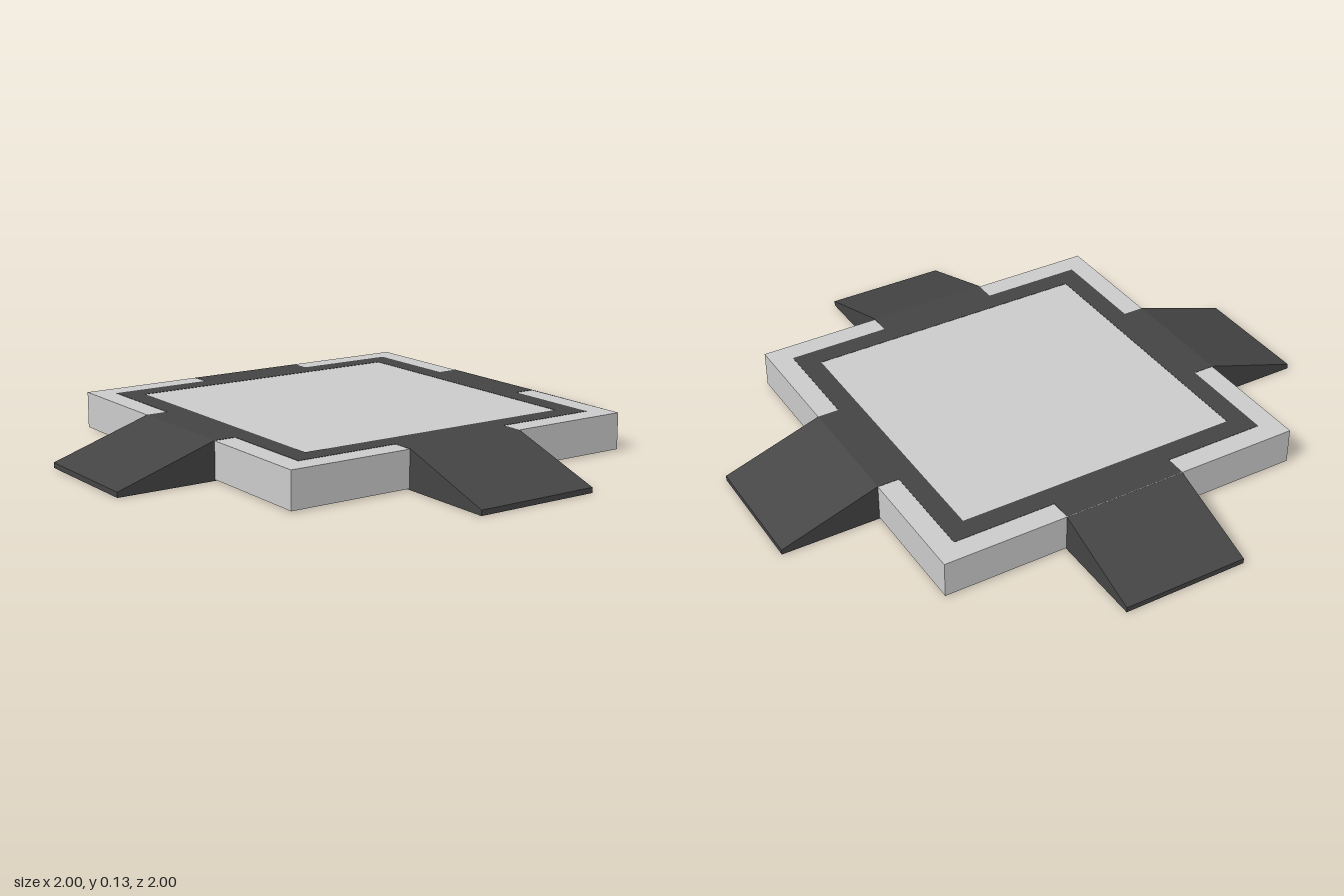
import * as THREE from 'three';

const GREY = 0xcccccc, DARK = 0x444444;
const HALF = 0.655;     // platform half width
const TOP = 0.13;       // platform height
const ARM = 0.219;      // ramp half width
const BORDER = 0.58;    // outer half width of the inlaid border
const PANEL = 0.506;    // inner half width of the border
const SHIFT = -0.004;   // the deck sits a touch to the back

function part(name, geometry, color) {
  const mesh = new THREE.Mesh(geometry, new THREE.MeshStandardMaterial({ color, flatShading: true }));
  mesh.name = name;
  return mesh;
}

function outline(points) {
  return new THREE.Shape(points.map(([x, y]) => new THREE.Vector2(x, y)));
}

const square = (h) => outline([[-h, -h], [h, -h], [h, h], [-h, h]]);

// Flat shape drawn in x/z, raised from y0 to y1
function slab(shape, y0, y1) {
  return new THREE.ExtrudeGeometry(shape, { depth: y1 - y0, bevelEnabled: false })
    .rotateX(-Math.PI / 2)
    .translate(0, y0, 0);
}

export function createModel() {
  const model = new THREE.Group();
  model.name = 'rampPlatform';

  // Square deck
  const deck = part('deck', new THREE.BoxGeometry(HALF * 2, TOP - 0.004, HALF * 2), GREY);
  deck.position.set(0, (TOP + 0.004) / 2, SHIFT);
  model.add(deck);

  // Dark border inlaid in the deck top
  const ring = square(BORDER);
  ring.holes.push(square(PANEL));
  const border = part('border', slab(ring, TOP - 0.01, TOP + 0.001), DARK);
  border.position.z = SHIFT;
  model.add(border);

  // Ramps on all four sides, reaching in to the border
  const profile = outline([[BORDER - 0.01, 0], [1, 0], [1, 0.018], [HALF, TOP + 0.001], [BORDER - 0.01, TOP + 0.001]]);
  const rampGeometry = new THREE.ExtrudeGeometry(profile, { depth: ARM * 2, bevelEnabled: false })
    .translate(0, 0, -ARM);
  ['leftRamp', 'backRamp', 'rightRamp', 'frontRamp'].forEach((name, i) => {
    const ramp = part(name, rampGeometry, DARK);
    ramp.rotation.y = i * Math.PI / 2;
    if (i % 2 === 0) ramp.position.z = SHIFT;
    model.add(ramp);
  });

  // Cross under the deck that joins the ramps
  const b = BORDER, a = ARM;
  const cross = outline([
    [-a, -b], [a, -b], [a, -a], [b, -a], [b, a], [a, a],
    [a, b], [-a, b], [-a, a], [-b, a], [-b, -a], [-a, -a],
  ]);
  model.add(part('underCross', slab(cross, 0, 0.01), DARK));

  return model;
}
